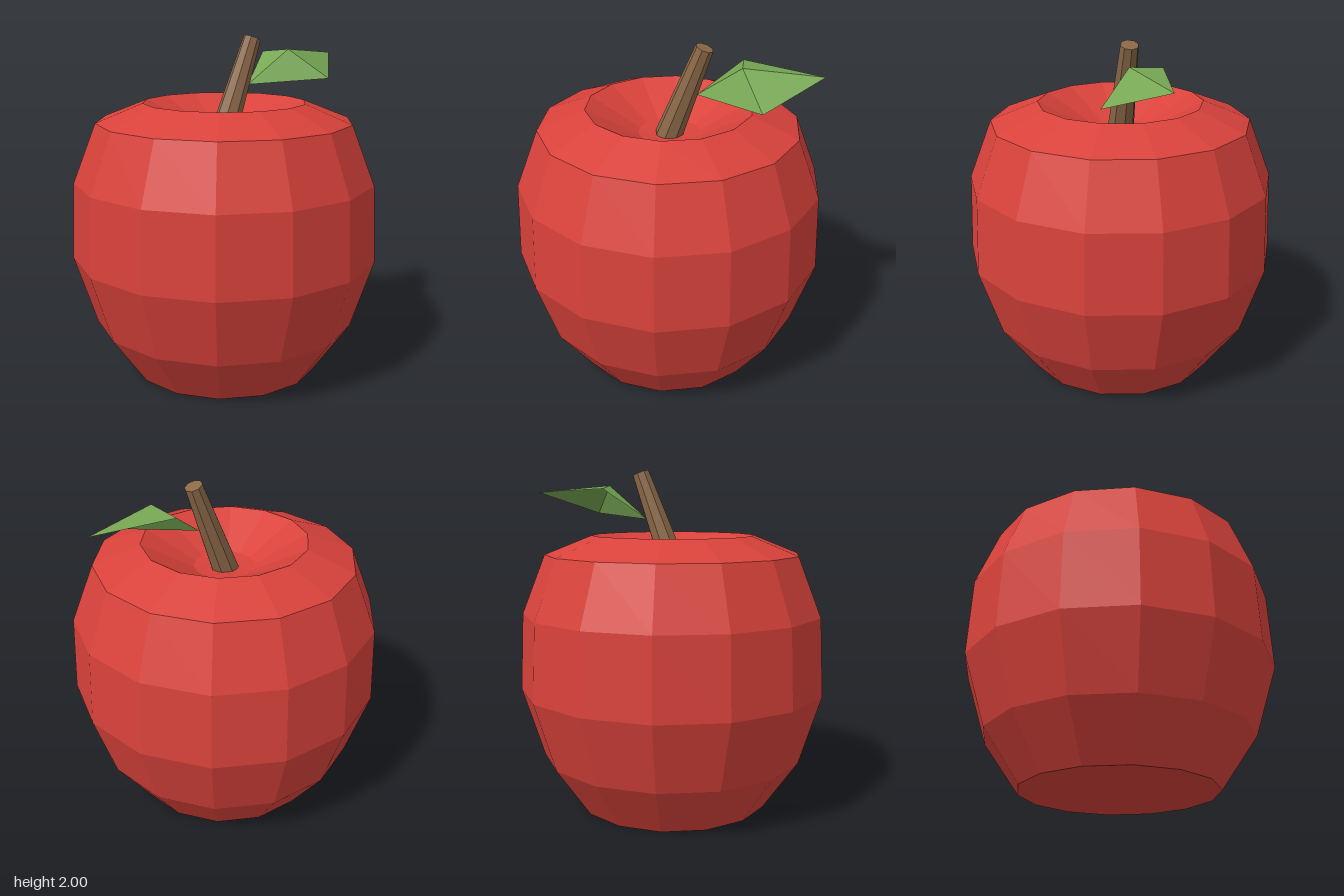
import * as THREE from 'three';

const material = (name, color, extra = {}) => {
  const m = new THREE.MeshStandardMaterial({ color, flatShading: true, ...extra });
  m.name = name;
  return m;
};

export function createModel() {
  const red = material('apple red', 0xd9423b);
  const brown = material('stem brown', 0x8b6848);
  const green = material('leaf green', 0x76a653, { side: THREE.DoubleSide });

  const model = new THREE.Group();
  model.name = 'apple';
  const add = (name, geometry, mat) => {
    const mesh = new THREE.Mesh(geometry, mat);
    mesh.name = name;
    model.add(mesh);
    return mesh;
  };

  // Faceted fruit with a dished top, a corner of the 14-gon pointing along +x
  const profile = [
    [0, 0.02], [0.57, 0], [0.78, 0.3], [0.91, 0.71], [0.89, 1.165],
    [0.755, 1.51], [0.48, 1.62], [0.18, 1.46], [0, 1.44],
  ].map(([r, y]) => new THREE.Vector2(r, y));
  const fruit = new THREE.LatheGeometry(profile, 14, Math.PI / 2).toNonIndexed();
  fruit.computeVertexNormals();
  add('fruit', fruit, red);

  // Tapered stem leaning from the dish towards +x
  const foot = new THREE.Vector3(-0.005, 1.435, 0);
  const tip = new THREE.Vector3(0.202, 1.981, 0);
  const axis = tip.clone().sub(foot);
  const stem = add('stem', new THREE.CylinderGeometry(0.052, 0.08, axis.length(), 8), brown);
  stem.position.copy(foot).add(tip).multiplyScalar(0.5);
  stem.rotation.z = -Math.atan2(axis.x, axis.y);

  // Leaf: four facets folded around a raised middle point
  const middle = [0.43, 1.91, 0.06];
  const rim = [[0.165, 1.71, 0.01], [0.59, 1.74, 0.25], [0.86, 1.87, -0.05], [0.39, 1.89, -0.135]];
  const points = rim.flatMap((p, i) => [middle, p, rim[(i + 1) % rim.length]]).flat();
  const leaf = new THREE.BufferGeometry();
  leaf.setAttribute('position', new THREE.Float32BufferAttribute(points, 3));
  leaf.computeVertexNormals();
  add('leaf', leaf, green);

  return model;
}
